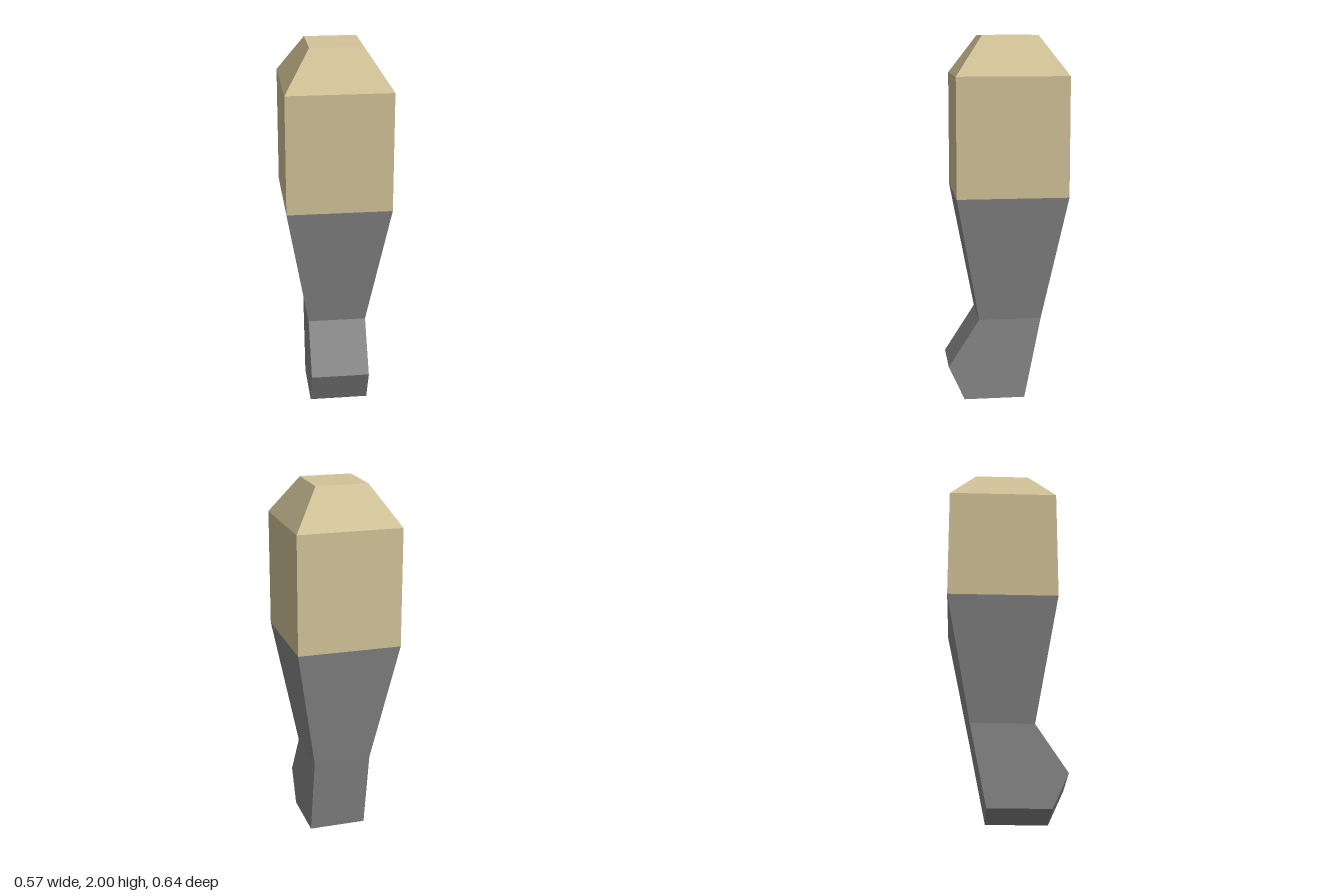
import * as THREE from 'three';

// Cross-sections from bottom to top: [y, half width, back z, front z]
const SOLE = [0, 0.16, -0.10, 0.235];
const TOE = [0.19, 0.16, -0.138, 0.322];
const ANKLE = [0.455, 0.16, -0.19, 0.152];
const KNEE = [1.148, 0.283, -0.322, 0.28];
const HIP = [1.79, 0.283, -0.322, 0.28];
const TOP = [2, 0.142, -0.173, 0.13];

// Lofts rectangular sections, with optional end caps
function loft(name, color, sections, capBottom = false, capTop = false) {
  const rings = sections.map(([y, w, back, front]) => [
    [-w, y, front], [w, y, front], [w, y, back], [-w, y, back],
  ]);
  const points = [];
  const quad = (a, b, c, d) => points.push(...a, ...b, ...c, ...a, ...c, ...d);
  for (let i = 0; i < rings.length - 1; i++) {
    for (let j = 0; j < 4; j++) {
      const k = (j + 1) % 4;
      quad(rings[i][j], rings[i][k], rings[i + 1][k], rings[i + 1][j]);
    }
  }
  if (capBottom) quad(...[...rings[0]].reverse());
  if (capTop) quad(...rings[rings.length - 1]);

  const geometry = new THREE.BufferGeometry();
  geometry.setAttribute('position', new THREE.Float32BufferAttribute(points, 3));
  geometry.computeVertexNormals();
  const material = new THREE.MeshStandardMaterial({ color, flatShading: true });
  const mesh = new THREE.Mesh(geometry, material);
  mesh.name = name;
  return mesh;
}

export function createModel() {
  const group = new THREE.Group();
  group.name = 'leg';
  const grey = 0x8a8a8a;
  const tan = 0xd3c499;

  group.add(
    loft('foot', grey, [SOLE, TOE, ANKLE], true),
    loft('lowerLeg', grey, [ANKLE, KNEE]),
    loft('upperLeg', tan, [KNEE, HIP, TOP], false, true),
  );
  return group;
}
